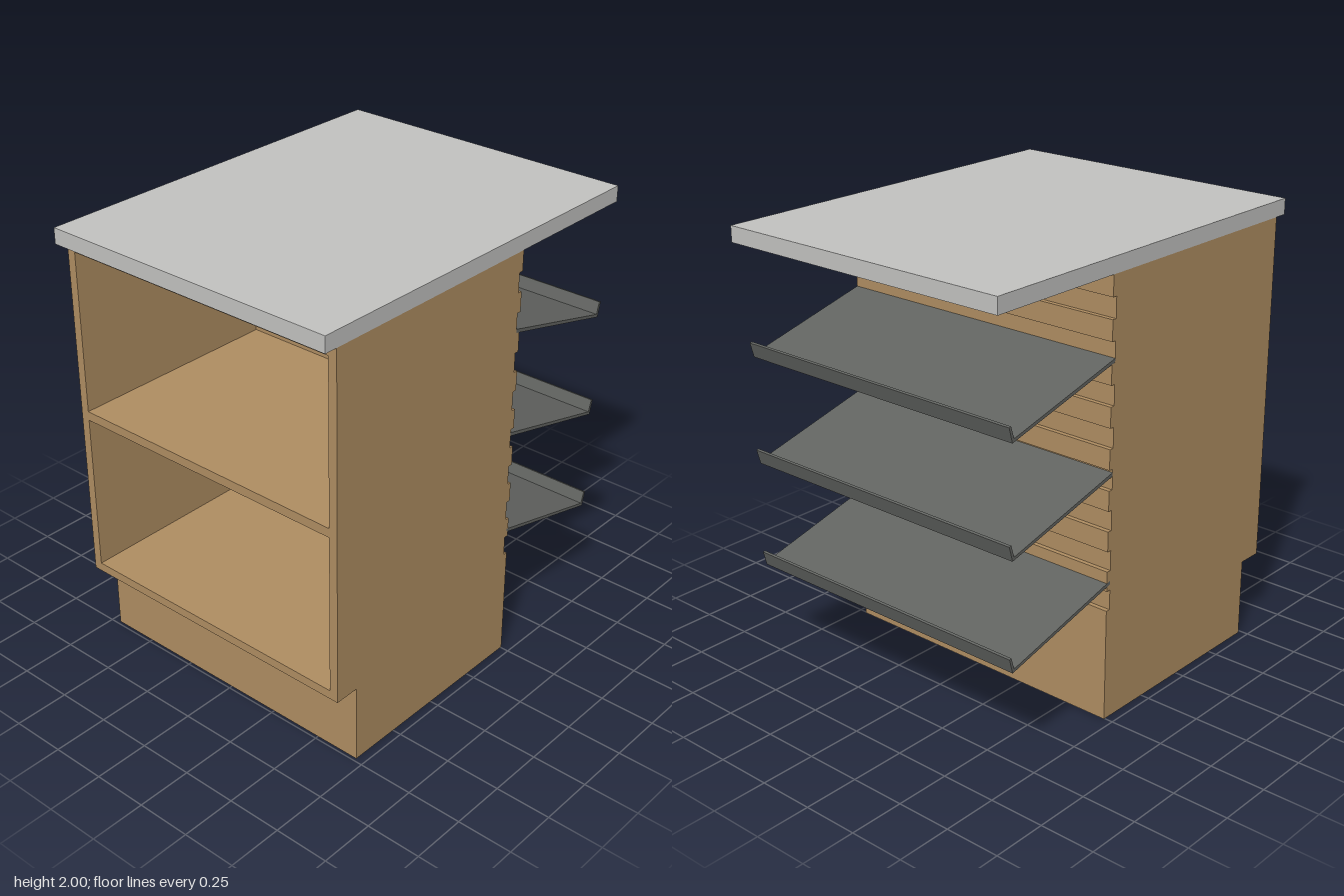
import * as THREE from 'three';

const W = 1.42, TOP = 1.93;          // cabinet width and height under the worktop
const BACK = -0.255, GROOVE = -0.235, INNER = -0.16, FRONT = 0.85;

function mat(name, color) {
  const m = new THREE.MeshStandardMaterial({ color });
  m.name = name;
  return m;
}

// Rectangle outline, usable as a shape or a hole
function rect(Type, x0, y0, x1, y1) {
  return new Type([[x0, y0], [x1, y0], [x1, y1], [x0, y1]].map(p => new THREE.Vector2(...p)));
}

// Extrude a side profile given as [z, y] points across the full width
function acrossWidth(points, width) {
  const shape = new THREE.Shape(points.map(p => new THREE.Vector2(p[0], p[1])));
  const g = new THREE.ExtrudeGeometry(shape, { depth: width, bevelEnabled: false });
  return g.translate(0, 0, -width / 2).rotateY(-Math.PI / 2);
}

export function createModel() {
  const group = new THREE.Group();
  const wood = mat('wood', 0xb08e62);
  const stone = mat('worktopGrey', 0xc3c3c1);
  const metal = mat('trayGrey', 0x626461);

  const add = (name, geometry, material) => {
    const mesh = new THREE.Mesh(geometry, material);
    mesh.name = name;
    group.add(mesh);
    return mesh;
  };
  const box = (name, material, w, y0, y1, z0, z1) =>
    add(name, new THREE.BoxGeometry(w, y1 - y0, z1 - z0), material)
      .position.set(0, (y0 + y1) / 2, (z0 + z1) / 2);

  // Worktop and recessed plinth
  box('worktop', stone, W, TOP, 2, -0.91, 0.91);
  box('plinth', wood, W, 0, 0.36, INNER, 0.735);

  // Open front carcass: frame with two compartments around a middle shelf
  const frame = rect(THREE.Shape, -W / 2, 0.36, W / 2, TOP);
  frame.holes.push(rect(THREE.Path, -0.67, 0.4, 0.67, 1.122));
  frame.holes.push(rect(THREE.Path, -0.67, 1.163, 0.67, 1.886));
  add('carcass',
    new THREE.ExtrudeGeometry(frame, { depth: FRONT - INNER, bevelEnabled: false }).translate(0, 0, INNER), wood);

  // Grooved back panel: eight slats above a plain lower part
  const profile = [[INNER, 0], [INNER, TOP]];
  for (let i = 7; i >= 0; i--) {
    const y = 0.596 + i * 0.1778;
    const top = i === 7 ? TOP : y + 0.089;
    if (i < 7) profile.push([GROOVE, top]);
    profile.push([BACK, top], [BACK, y], [GROOVE, y]);
  }
  profile.push([GROOVE, 0.507], [BACK, 0.507], [BACK, 0]);
  add('slattedBack', acrossWidth(profile, W), wood);

  // Sloping display trays with an upturned lip
  const tray = acrossWidth([
    [GROOVE, 1.592], [-0.823, 1.441], [-0.839, 1.494], [-0.85, 1.491],
    [-0.832, 1.425], [GROOVE, 1.576],
  ], W);
  for (let i = 0; i < 3; i++) add('tray' + (i + 1), tray, metal).position.y = -0.477 * i;

  return group;
}
